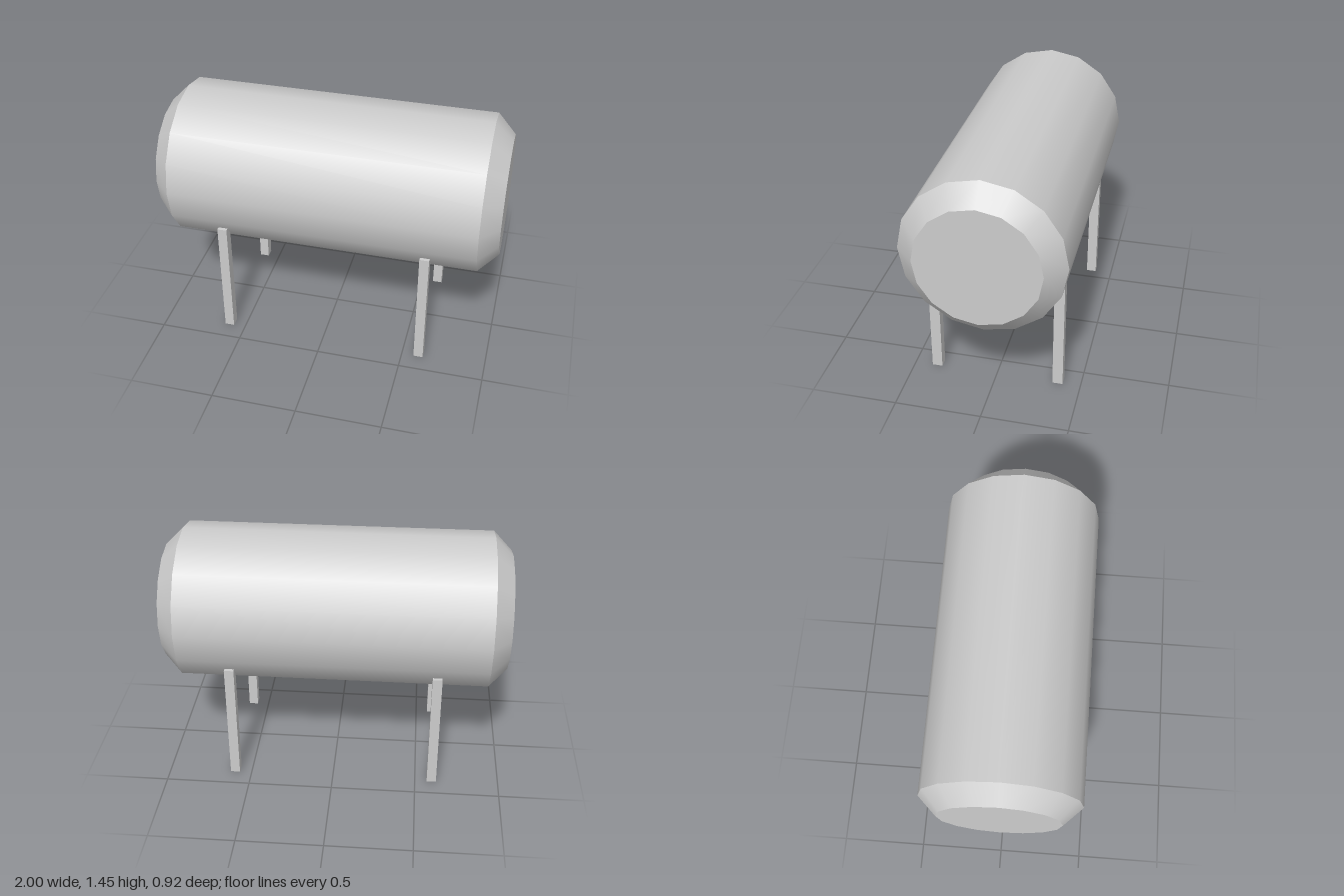
import * as THREE from 'three';

const SIDES = 16;
const RADIUS = 0.46, END_RADIUS = 0.35;
const SHOULDER_X = 0.893, AXIS_Y = 0.99;

export function createModel() {
  const model = new THREE.Group();
  model.name = 'horizontalTank';
  const steel = new THREE.MeshStandardMaterial({ color: 0xcccccc, side: THREE.DoubleSide });
  steel.name = 'light grey steel';

  const add = (parent, name, geometry, x, y, z) => {
    const mesh = new THREE.Mesh(geometry, steel);
    mesh.name = name;
    mesh.position.set(x, y, z);
    parent.add(mesh);
    return mesh;
  };

  // Tank: built upright, then laid along x
  const tank = new THREE.Group();
  tank.name = 'tank';
  tank.position.y = AXIS_Y;
  tank.rotation.z = -Math.PI / 2;
  model.add(tank);
  add(tank, 'barrel', new THREE.CylinderGeometry(RADIUS, RADIUS, SHOULDER_X * 2, SIDES, 1, true), 0, 0, 0);

  // Bevelled shoulder and flat disc at each end
  const depth = 1 - SHOULDER_X;
  for (const [side, sign] of [['left', 1], ['right', -1]]) {
    const end = new THREE.Group();
    end.name = side + 'End';
    if (sign < 0) end.rotation.x = Math.PI;
    tank.add(end);
    add(end, 'shoulder', new THREE.CylinderGeometry(END_RADIUS, RADIUS, depth, SIDES, 1, true), 0, SHOULDER_X + depth / 2, 0);
    add(end, 'endDisc', new THREE.CircleGeometry(END_RADIUS, SIDES).rotateX(-Math.PI / 2), 0, 1, 0);
  }

  // Four hollow square legs, open at the foot
  const legHeight = 0.737;
  const legGeometry = new THREE.BoxGeometry(0.056, legHeight, 0.06);
  const index = Array.from(legGeometry.index.array);
  index.splice(18, 6); // drop the bottom face
  legGeometry.setIndex(index);
  legGeometry.clearGroups();
  for (const x of [-0.6, 0.6]) {
    for (const z of [-0.365, 0.365]) {
      const name = (z > 0 ? 'front' : 'back') + (x > 0 ? 'Left' : 'Right') + 'Leg';
      add(model, name, legGeometry, x, legHeight / 2, z);
    }
  }
  return model;
}
